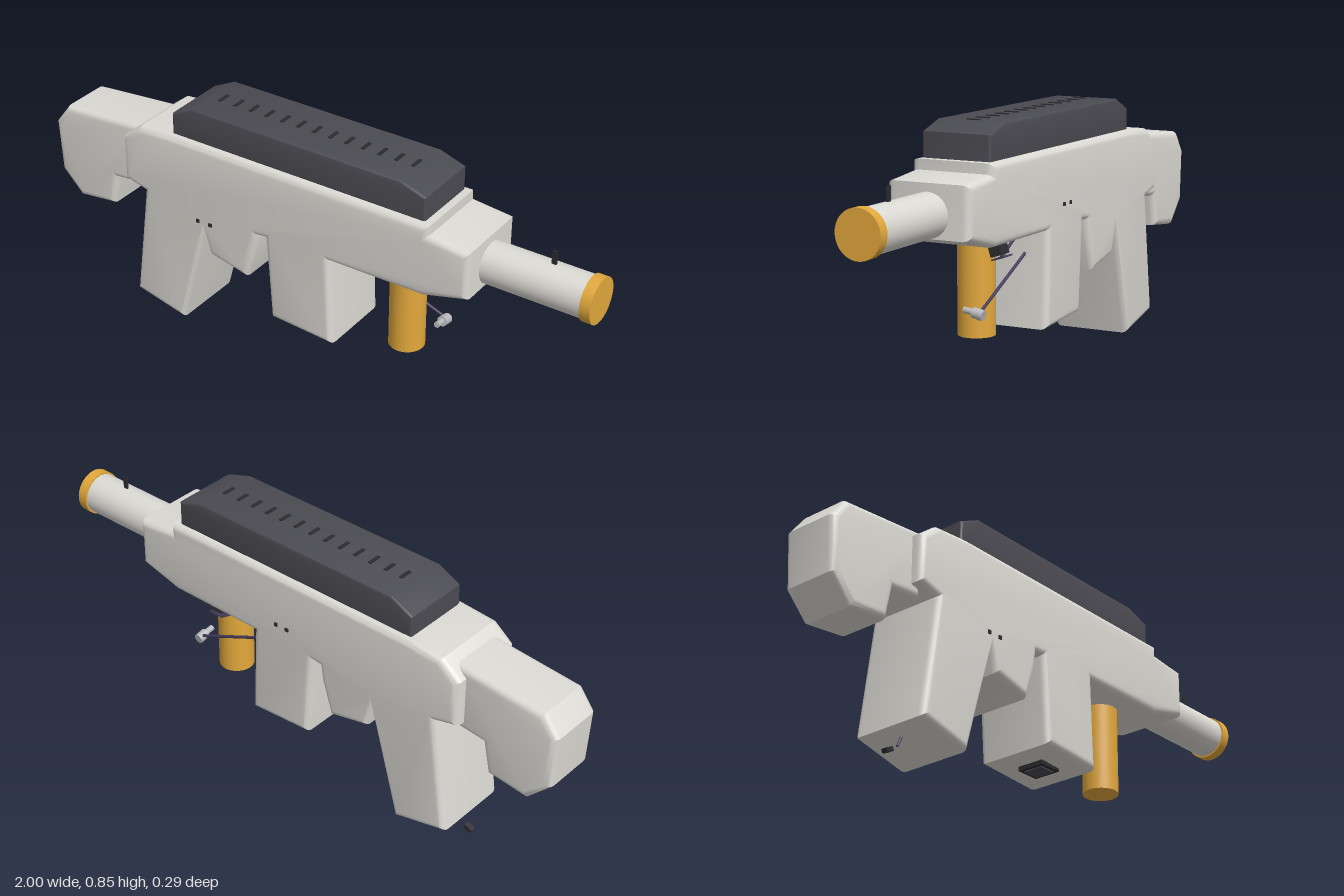
import * as THREE from 'three';
import { toCreasedNormals } from 'three/addons/utils/BufferGeometryUtils.js';

const mat = (color) => new THREE.MeshStandardMaterial({ color });
const grey = mat(0xdcdad4), dark = mat(0x4b4b52), black = mat(0x2c2c30);
const gold = mat(0xe2a83c), violet = mat(0x453c5c), steel = mat(0xb8b8bc);

export function createModel() {
  const model = new THREE.Group();

  function add(name, geometry, material, x = 0, y = 0, z = 0) {
    const mesh = new THREE.Mesh(geometry, material);
    mesh.name = name;
    mesh.position.set(x, y, z);
    model.add(mesh);
    return mesh;
  }

  // Side profile extruded across z with rounded rims that stay inside the outline
  function slab(name, points, halfWidth, bevel, material) {
    const shape = new THREE.Shape(points.map(([x, y]) => new THREE.Vector2(x, y)));
    const geometry = new THREE.ExtrudeGeometry(shape, {
      depth: 2 * (halfWidth - bevel), bevelEnabled: true, bevelThickness: bevel,
      bevelSize: bevel, bevelOffset: -bevel, bevelSegments: 4,
    });
    geometry.translate(0, 0, bevel - halfWidth);
    return add(name, toCreasedNormals(geometry, 0.5), material);
  }

  // Cylinder between two points
  function rod(name, a, b, radius, material, sides = 12) {
    const start = new THREE.Vector3(...a), end = new THREE.Vector3(...b);
    const dir = end.clone().sub(start);
    const mesh = add(name, new THREE.CylinderGeometry(radius, radius, dir.length(), sides), material);
    mesh.position.copy(start).add(end).multiplyScalar(0.5);
    mesh.quaternion.setFromUnitVectors(new THREE.Vector3(0, 1, 0), dir.normalize());
    return mesh;
  }

  // Body with rear grip, trigger and magazine in one outline
  slab('body', [
    [-0.675, 0.51], [-0.595, 0.49], [-0.65, 0.085], [-0.453, 0.038], [-0.352, 0.425],
    [-0.332, 0.335], [-0.185, 0.302], [-0.148, 0.42], [-0.14, 0.475], [-0.11, 0.478],
    [-0.09, 0.183], [0.147, 0.168], [0.135, 0.48], [0.475, 0.482], [0.63, 0.523],
    [0.63, 0.688], [0.49, 0.702], [0.49, 0.735], [-0.48, 0.735], [-0.605, 0.725], [-0.675, 0.67],
  ], 0.14, 0.024, grey);

  // Shoulder stock
  slab('stock', [
    [-1, 0.607], [-0.99, 0.425], [-0.91, 0.343], [-0.765, 0.36], [-0.743, 0.468],
    [-0.63, 0.48], [-0.63, 0.703], [-0.947, 0.676],
  ], 0.1, 0.024, grey);

  // Top cover and its row of small ridges
  slab('topCover', [
    [-0.48, 0.73], [0.465, 0.73], [0.465, 0.815], [0.375, 0.844], [-0.4, 0.844], [-0.48, 0.805],
  ], 0.117, 0.008, dark);
  for (let i = 0; i < 13; i++) {
    add('coverRidge', new THREE.BoxGeometry(0.012, 0.008, 0.045), black, -0.36 + i * 0.06, 0.843, 0);
  }

  // Barrel, muzzle ring and front sight
  rod('barrel', [0.6, 0.593, 0], [0.97, 0.593, 0], 0.069, grey, 48);
  rod('muzzleCap', [0.965, 0.593, 0], [1, 0.593, 0], 0.075, gold, 48);
  add('frontSight', new THREE.BoxGeometry(0.016, 0.045, 0.006), black, 0.84, 0.685, 0);

  // Front handle
  rod('frontHandle', [0.345, 0.182, 0], [0.345, 0.49, 0], 0.059, gold, 48);

  // Small lever, its knob and the pivot block beside the handle
  rod('leverRod', [0.12, 0.412, -0.055], [0.445, 0.275, -0.068], 0.005, violet);
  rod('knobStem', [0.445, 0.279, -0.013], [0.445, 0.275, -0.046], 0.01, steel, 16);
  rod('knob', [0.445, 0.274, -0.045], [0.445, 0.267, -0.08], 0.017, steel, 20);
  rod('upperRod', [0.19, 0.478, -0.06], [0.34, 0.43, -0.085], 0.005, violet);
  const pivot = add('pivotBlock', new THREE.BoxGeometry(0.05, 0.03, 0.04), black, 0.345, 0.45, -0.078);
  pivot.rotation.x = 0.3;
  rod('pivotPin', [0.345, 0.475, -0.066], [0.345, 0.44, -0.082], 0.014, black, 16);
  const plate = add('pivotPlate', new THREE.BoxGeometry(0.055, 0.005, 0.045), violet, 0.335, 0.427, -0.083);
  plate.rotation.x = 0.3;

  // Magazine base plate with a raised inner pad
  add('magazinePlate', new THREE.BoxGeometry(0.085, 0.015, 0.096), black, 0.03, 0.171, 0);
  add('magazinePad', new THREE.BoxGeometry(0.06, 0.006, 0.07), dark, 0.03, 0.163, 0);

  // Strap pin under the rear grip
  rod('strapPin', [-0.59, 0.08, 0], [-0.61, 0.038, 0], 0.004, violet);
  const tab = add('strapTab', new THREE.BoxGeometry(0.03, 0.014, 0.02), black, -0.648, 0.014, 0);
  tab.rotation.z = 0.45;

  // Side screws, one pair on each side
  for (const [x, y, z] of [[-0.372, 0.455, 0.14], [-0.322, 0.455, 0.14], [-0.01, 0.553, -0.14], [0.035, 0.553, -0.14]]) {
    add('sideScrew', new THREE.BoxGeometry(0.012, 0.012, 0.008), black, x, y, z);
  }

  return model;
}
